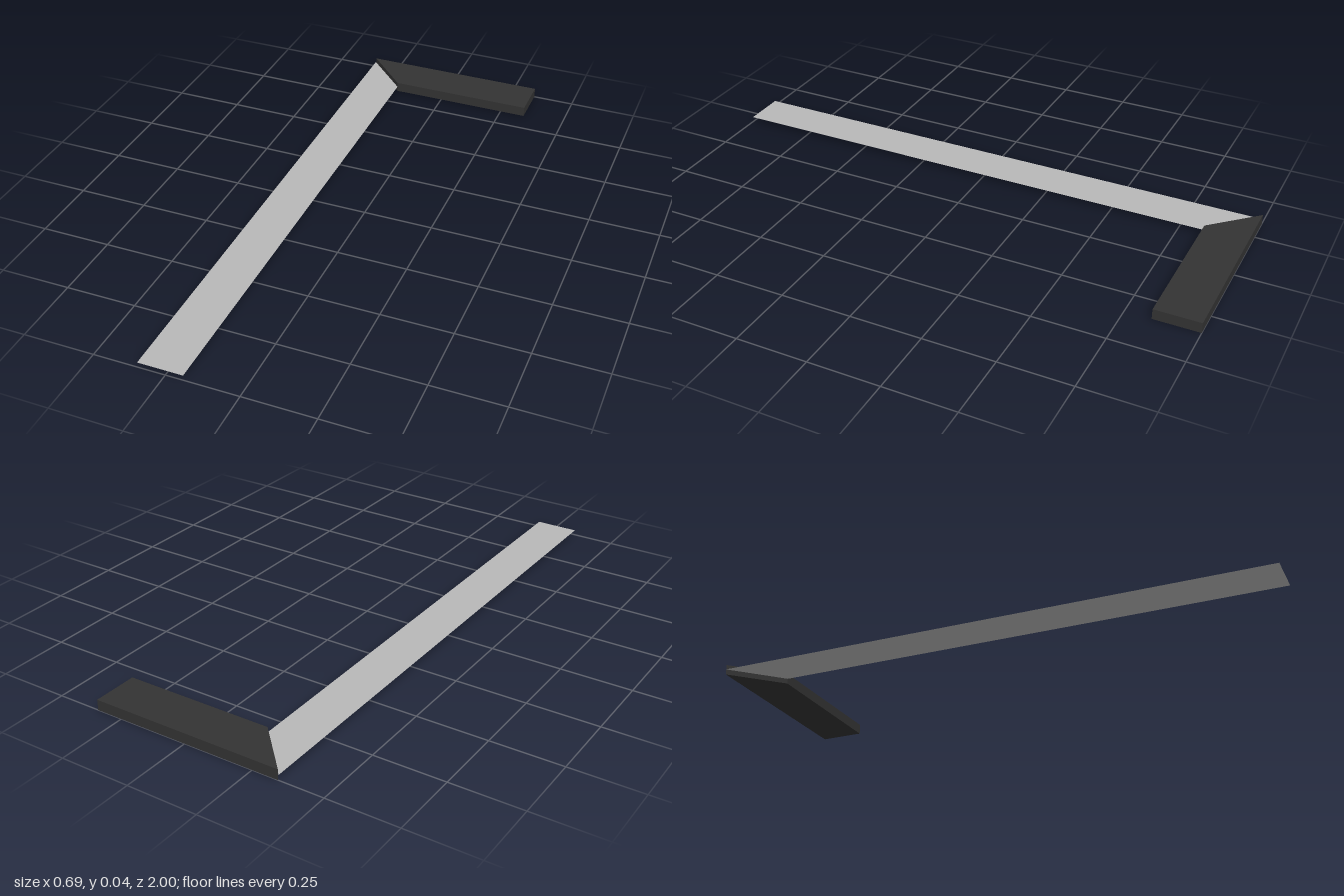
import * as THREE from 'three';

const steel = new THREE.MeshStandardMaterial({ color: 0xb8b8b8, side: THREE.DoubleSide });
steel.name = 'steel grey';
const black = new THREE.MeshStandardMaterial({ color: 0x333333 });
black.name = 'handle black';

const THICK = 0.037;   // handle thickness
const LEFT = -0.343, RIGHT = 0.345, INNER = -0.188;
const BACK = -1, FRONT = 1, HANDLE_FRONT = -0.84;

// Plan outline given as [x, z] corners
function plan(points) {
  return new THREE.Shape(points.map(([x, z]) => new THREE.Vector2(x, z)));
}

function addPart(group, name, geometry, material, y) {
  geometry.rotateX(Math.PI / 2).translate(0, y, 0);
  const mesh = new THREE.Mesh(geometry, material);
  mesh.name = name;
  group.add(mesh);
}

export function createModel() {
  const group = new THREE.Group();
  group.name = 'trySquare';

  // Thick handle with a mitred corner
  const handle = plan([[LEFT, BACK], [RIGHT, BACK], [RIGHT, HANDLE_FRONT], [INNER, HANDLE_FRONT]]);
  addPart(group, 'handle', new THREE.ExtrudeGeometry(handle, { depth: THICK, bevelEnabled: false }), black, THICK);

  // Paper-thin blade, meeting the handle along the mitre at mid height
  const blade = plan([[-0.345, BACK], [INNER, HANDLE_FRONT], [INNER, FRONT], [-0.345, FRONT]]);
  addPart(group, 'blade', new THREE.ShapeGeometry(blade), steel, 0.019);
  // Face the blade upward
  const bladeGeometry = group.getObjectByName('blade').geometry;
  bladeGeometry.setIndex([...bladeGeometry.index.array].reverse());
  bladeGeometry.computeVertexNormals();

  return group;
}
